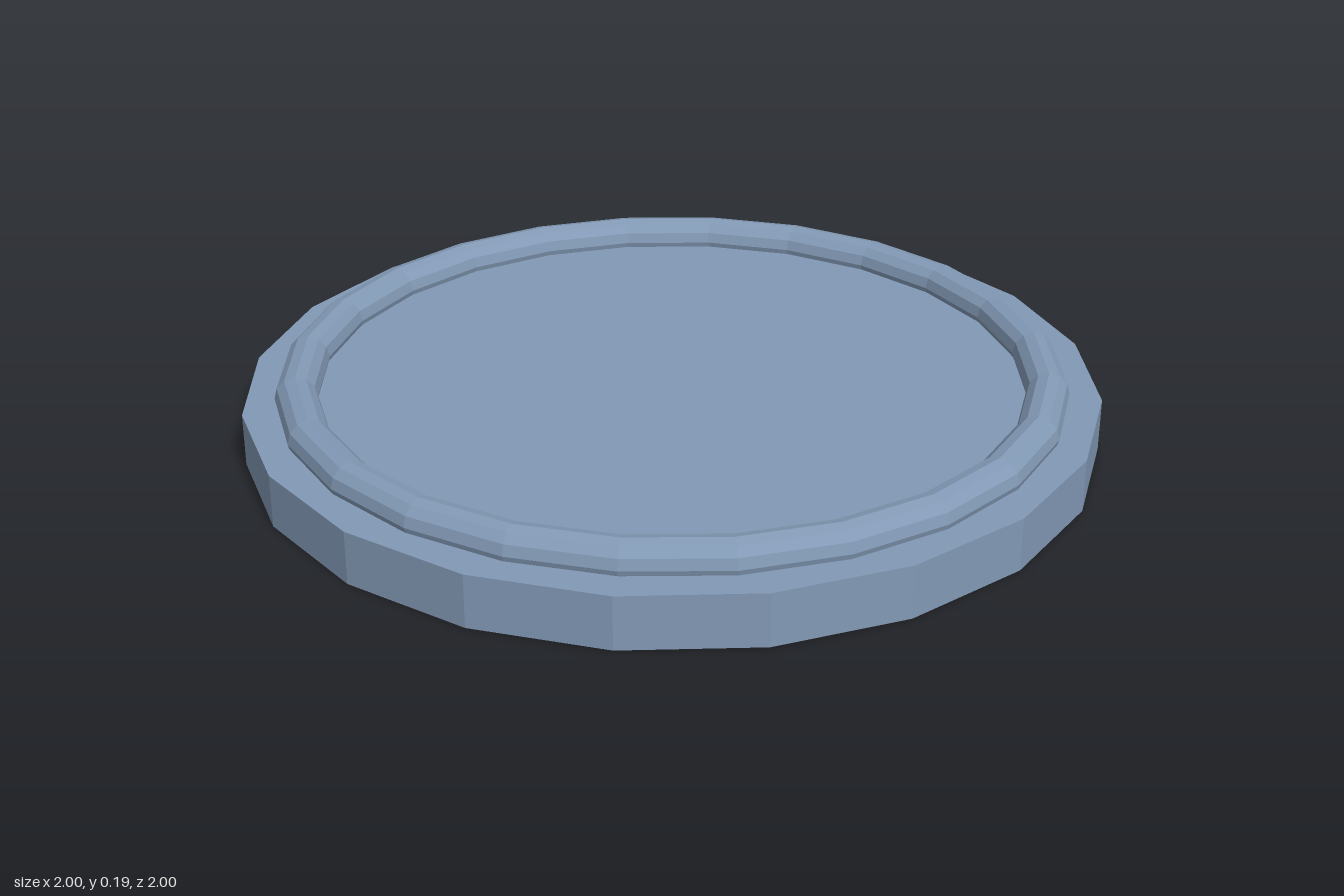
import * as THREE from 'three';

export function createModel() {
  const group = new THREE.Group();
  group.name = 'roundPlate';
  const material = new THREE.MeshStandardMaterial({ color: 0x8299b5, flatShading: true });

  // Twenty-sided disc
  const baseHeight = 0.125;
  const base = new THREE.Mesh(new THREE.CylinderGeometry(1, 1, baseHeight, 20), material);
  base.name = 'base';
  base.position.y = baseHeight / 2;
  group.add(base);

  // Raised ring, its lower part sunk into the disc
  const rim = new THREE.Mesh(new THREE.TorusGeometry(0.875, 0.05, 12, 24), material);
  rim.name = 'rim';
  rim.rotation.x = -Math.PI / 2;
  rim.position.y = 0.1375;
  group.add(rim);

  return group;
}
